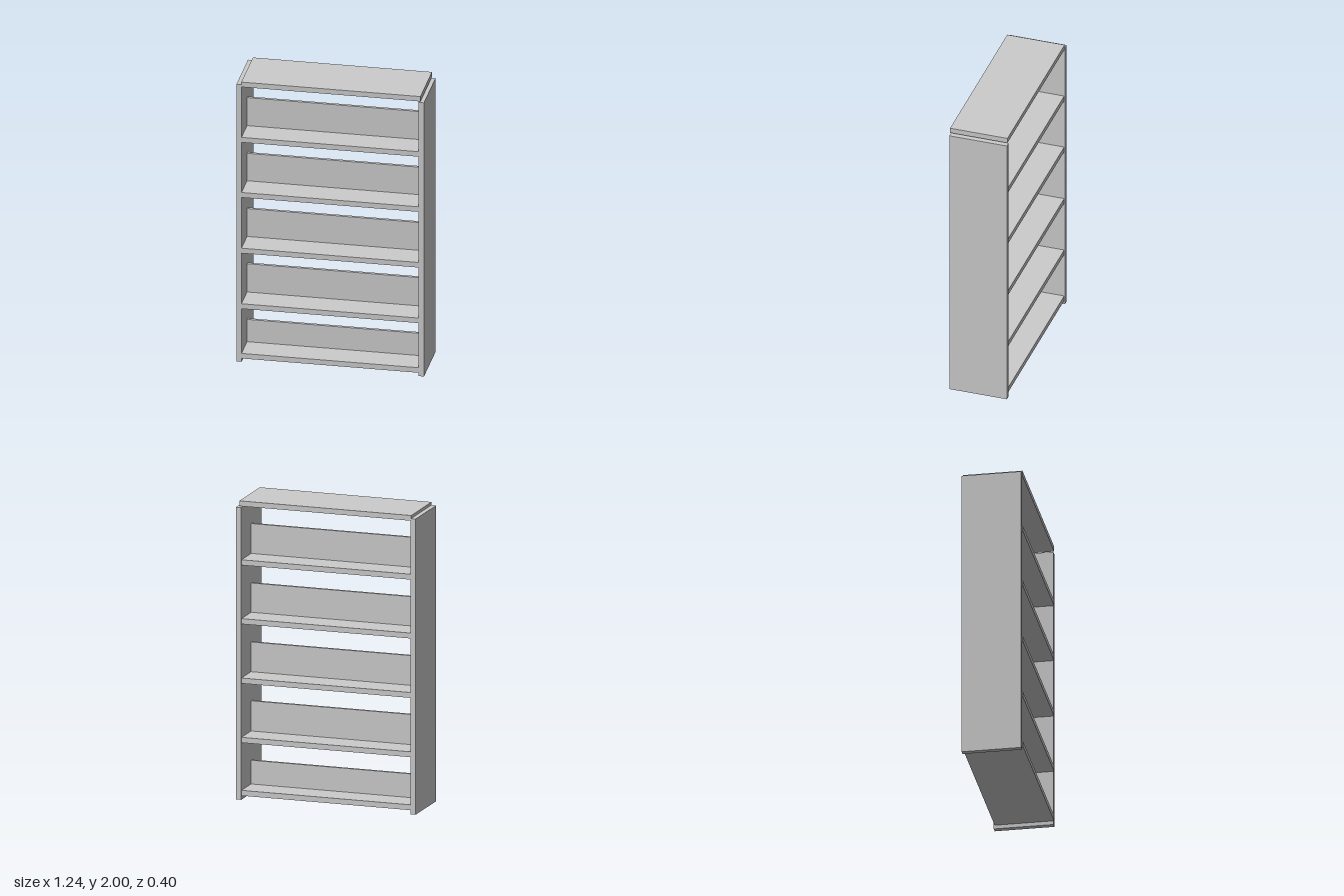
import * as THREE from 'three';

export function createModel() {
  const group = new THREE.Group();
  const material = new THREE.MeshStandardMaterial({ color: 0xcccccc, flatShading: true });

  // Board given by its lower and upper limits on each axis
  function board(name, [x0, x1], [y0, y1], [z0, z1]) {
    const mesh = new THREE.Mesh(new THREE.BoxGeometry(x1 - x0, y1 - y0, z1 - z0), material);
    mesh.position.set((x0 + x1) / 2, (y0 + y1) / 2, (z0 + z1) / 2);
    mesh.name = name;
    group.add(mesh);
  }

  // Uprights, slightly uneven in height
  board('rightSide', [-0.623, -0.588], [0, 1.98], [-0.199, 0.194]);
  board('leftSide', [0.583, 0.62], [0, 1.956], [-0.2, 0.194]);

  // Top board
  board('top', [-0.59, 0.597], [1.965, 2], [-0.196, 0.197]);

  // Shelves, each with an upright divider along its middle
  const inner = [-0.588, 0.583];
  const shelfTops = [0.062, 0.417, 0.814, 1.212, 1.606];
  const dividerTops = [0.221, 0.619, 1.013, 1.408, 1.806];
  shelfTops.forEach((y, i) => {
    board(`shelf${i + 1}`, inner, [y - 0.036, y], [-0.194, 0.199]);
    board(`divider${i + 1}`, inner, [y, dividerTops[i]], [-0.009, 0.011]);
  });

  return group;
}
